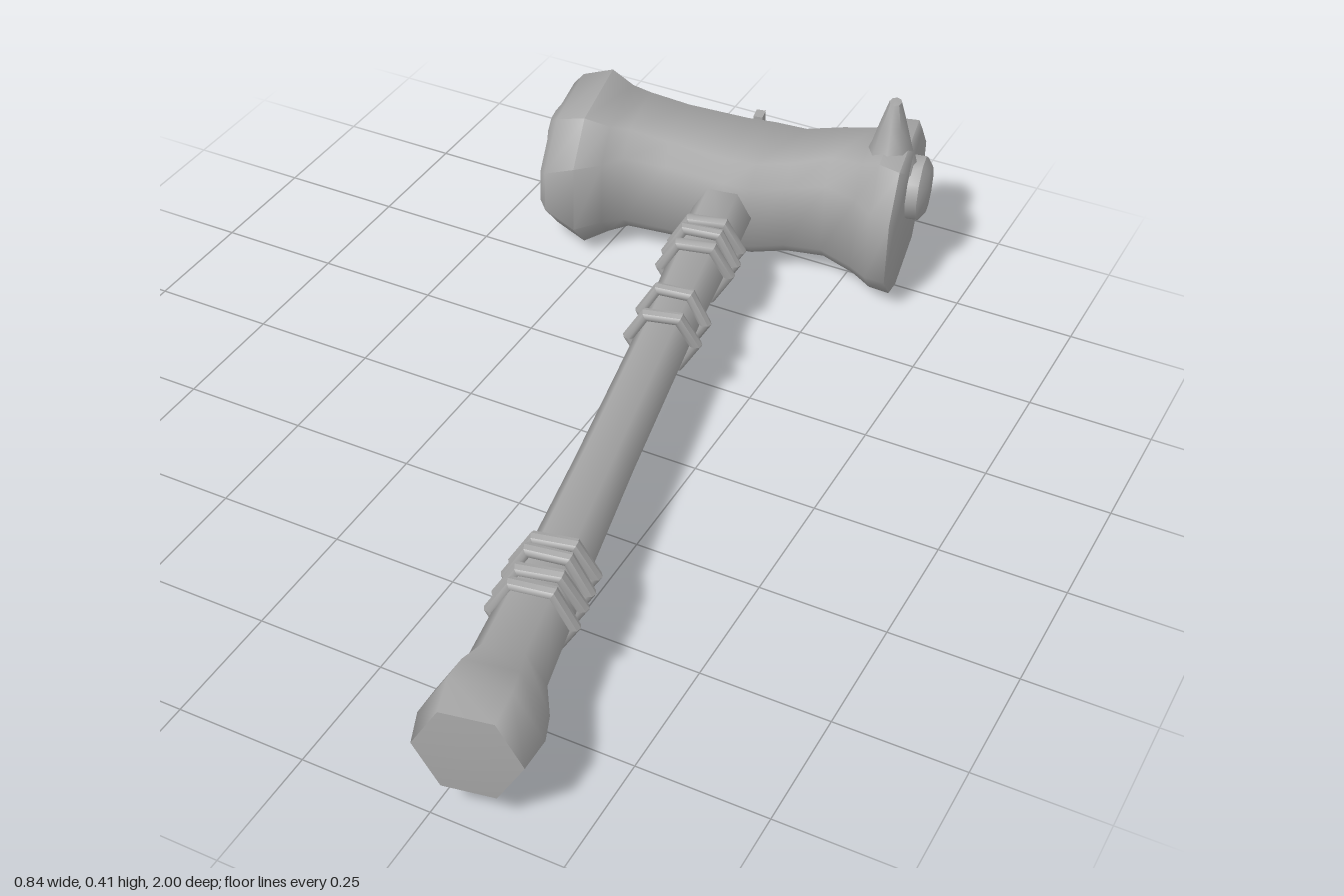
import * as THREE from 'three';
import { toCreasedNormals } from 'three/addons/utils/BufferGeometryUtils.js';

const grey = new THREE.MeshStandardMaterial({ color: 0xa6a6a6 });
grey.name = 'grey';

function part(name, geometry, parent, crease = 1.0) {
  const mesh = new THREE.Mesh(crease ? toCreasedNormals(geometry, crease) : geometry, grey);
  mesh.name = name;
  parent.add(mesh);
  return mesh;
}

const lathe = (points, sides) =>
  new THREE.LatheGeometry(points.map(([r, h]) => new THREE.Vector2(r, h)), sides);

// Loft of chamfered rectangles along x: [x, zMin, zMax, yMin, yMax, chamfer]
function loft(sections) {
  const pos = [], index = [], n = 8;
  for (const [x, z0, z1, y0, y1, c] of sections) {
    for (const [y, z] of [
      [y1, z0 + c], [y1, z1 - c], [y1 - c, z1], [y0 + c, z1],
      [y0, z1 - c], [y0, z0 + c], [y0 + c, z0], [y1 - c, z0],
    ]) pos.push(x, y, z);
  }
  for (let i = 0; i < sections.length - 1; i++) {
    for (let j = 0; j < n; j++) {
      const a = i * n + j, b = i * n + (j + 1) % n;
      index.push(a, b, a + n, b, b + n, a + n);
    }
  }
  const last = (sections.length - 1) * n;
  for (let j = 1; j < n - 1; j++) {
    index.push(0, j + 1, j);
    index.push(last, last + j, last + j + 1);
  }
  const g = new THREE.BufferGeometry();
  g.setAttribute('position', new THREE.Float32BufferAttribute(pos, 3));
  g.setIndex(index);
  return g;
}

export function createModel() {
  const model = new THREE.Group();
  model.name = 'warHammer';

  // Hammer lies flat, turned slightly; local z runs along the handle
  const hammer = new THREE.Group();
  hammer.name = 'hammer';
  hammer.position.set(-0.02, 0, -0.755);
  hammer.rotation.y = 0.19;
  model.add(hammer);

  // Head: waisted block flaring to a striking face at each end
  part('head', loft([
    [-0.392, -0.16, 0.165, 0.045, 0.275, 0.08],
    [-0.375, -0.18, 0.186, 0.03, 0.292, 0.085],
    [-0.31, -0.18, 0.192, 0.0, 0.312, 0.08],
    [-0.26, -0.15, 0.15, 0.022, 0.287, 0.06],
    [-0.22, -0.129, 0.122, 0.035, 0.28, 0.045],
    [-0.13, -0.118, 0.122, 0.035, 0.268, 0.04],
    [0.0, -0.115, 0.136, 0.035, 0.26, 0.04],
    [0.06, -0.119, 0.136, 0.035, 0.258, 0.04],
    [0.13, -0.115, 0.108, 0.035, 0.256, 0.04],
    [0.21, -0.111, 0.105, 0.032, 0.28, 0.045],
    [0.28, -0.125, 0.135, 0.015, 0.29, 0.055],
    [0.32, -0.165, 0.178, 0.003, 0.31, 0.075],
    [0.365, -0.178, 0.197, 0.005, 0.307, 0.08],
    [0.375, -0.165, 0.18, 0.02, 0.295, 0.08],
  ]), hammer);

  // Round boss on each striking face
  for (const s of [-1, 1]) {
    const boss = part(s > 0 ? 'leftBoss' : 'rightBoss',
      lathe([[0.07, -0.03], [0.07, 0.02], [0.05, 0.034], [0, 0.036]], 10), hammer, 0.7);
    boss.rotation.z = -s * Math.PI / 2;
    boss.position.set(s * 0.379, s > 0 ? 0.205 : 0.193, 0.003);
  }

  // Spike on top of the left end
  const spike = part('spike',
    lathe([[0.06, -0.05], [0.042, 0], [0.028, 0.05], [0.013, 0.1], [0, 0.103]], 8), hammer);
  spike.position.set(0.328, 0.308, 0.01);
  spike.scale.z = 1.35;

  // Small strap and bead hanging on the back of the head
  const strap = part('strap', new THREE.BoxGeometry(0.02, 0.11, 0.03), hammer);
  strap.position.set(0.015, 0.19, -0.124);
  const bead = part('bead', new THREE.IcosahedronGeometry(0.033, 1), hammer);
  bead.position.set(0.015, 0.135, -0.13);

  // Six-sided handle with a swollen pommel
  const handle = part('handle', lathe([
    [0, 0.08], [0.065, 0.08], [0.063, 0.3], [0.056, 0.6], [0.057, 1.0], [0.062, 1.3],
    [0.07, 1.42], [0.075, 1.58], [0.1, 1.645], [0.11, 1.7], [0.097, 1.768], [0, 1.775],
  ], 6).rotateY(Math.PI / 2).rotateX(Math.PI / 2), hammer, 1.1);
  handle.position.y = 0.147;

  // Binding rings: [distance along handle, radius, tilt]
  const rings = [
    [0.26, 0.07, 0.05], [0.305, 0.072, -0.04], [0.352, 0.07, 0.04],
    [0.52, 0.066, -0.06], [0.6, 0.066, 0.06],
    [1.3, 0.072, 0.03], [1.34, 0.074, -0.03], [1.385, 0.074, 0.04], [1.43, 0.074, -0.02],
  ];
  for (const [z, r, tilt] of rings) {
    const ring = part('bindingRing', new THREE.TorusGeometry(r, 0.014, 8, 6), hammer, 0.9);
    ring.position.set(0, 0.147, z);
    ring.rotation.set(tilt, tilt, 0);
  }

  return model;
}
